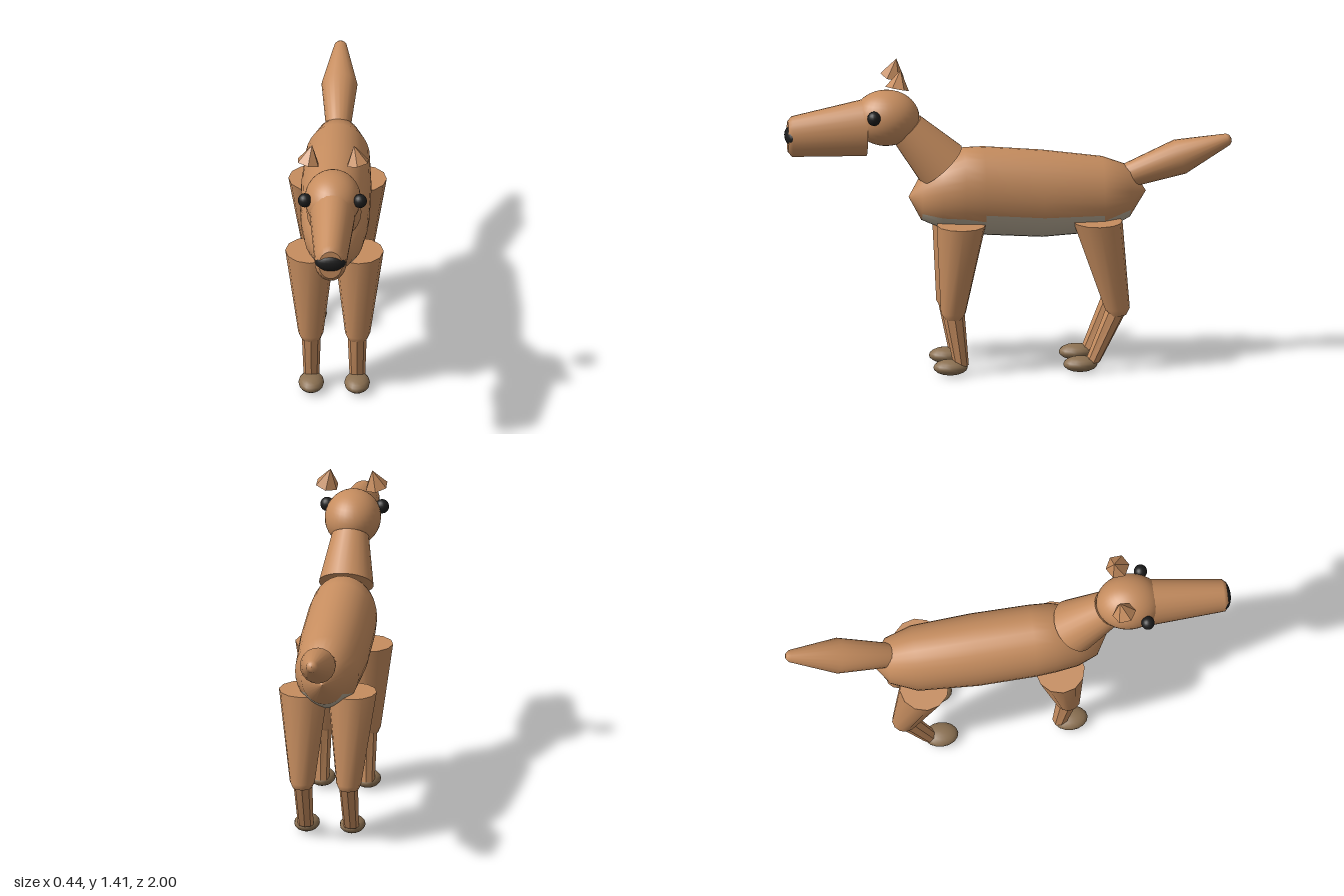
import * as THREE from 'three';

const material = (name, color) => {
  const m = new THREE.MeshStandardMaterial({ color });
  m.name = name;
  return m;
};

// Elliptical rings [s, cu, cv, ru, rv] joined along descending s.
// axis 'z': u = x, v = y.  axis 'y': u = z, v = x.
function loft(axis, rings, sides, isSecond = () => false) {
  const pos = [], first = [], second = [];
  const put = (s, u, v) => (axis === 'z' ? pos.push(u, v, s) : pos.push(v, s, u));
  const addRing = ([s, cu, cv, ru, rv]) => {
    const start = pos.length / 3;
    for (let j = 0; j < sides; j++) {
      const t = (j / sides) * Math.PI * 2;
      put(s, cu + ru * Math.cos(t), cv + rv * Math.sin(t));
    }
    return start;
  };
  rings.forEach(addRing);
  for (let i = 0; i < rings.length - 1; i++) {
    for (let j = 0; j < sides; j++) {
      const a = i * sides + j, b = i * sides + ((j + 1) % sides);
      const list = isSecond(i, ((j + 0.5) / sides) * 360) ? second : first;
      list.push(a, a + sides, b, b, a + sides, b + sides);
    }
  }
  // flat end caps with their own corners
  [rings[0], rings[rings.length - 1]].forEach((ring, end) => {
    if (ring[3] === 0) return;
    const start = addRing(ring), centre = pos.length / 3;
    put(ring[0], ring[1], ring[2]);
    for (let j = 0; j < sides; j++) {
      const a = start + j, b = start + ((j + 1) % sides);
      first.push(centre, end ? b : a, end ? a : b);
    }
  });
  const g = new THREE.BufferGeometry();
  g.setAttribute('position', new THREE.Float32BufferAttribute(pos, 3));
  g.setIndex([...first, ...second]);
  g.addGroup(0, first.length, 0);
  if (second.length) g.addGroup(first.length, second.length, 1);
  g.computeVertexNormals();
  return g;
}

function flat(geometry) {
  const g = geometry.toNonIndexed();
  g.clearGroups();
  g.computeVertexNormals();
  return g;
}

export function createModel() {
  const model = new THREE.Group();
  model.name = 'dog';
  const coat = material('tan coat', 0xc68d5f);
  const belly = material('grey belly', 0xb8ab96);
  const paw = material('brown paw', 0x8c7152);
  const black = material('black', 0x1c1c1c);

  const add = (name, geometry, mat, p = [0, 0, 0], scale = [1, 1, 1]) => {
    const m = new THREE.Mesh(geometry, mat);
    m.name = name;
    m.position.set(...p);
    m.scale.set(...scale);
    model.add(m);
    return m;
  };
  const ball = (name, mat, p, r, w = 32, h = 20) =>
    add(name, new THREE.SphereGeometry(1, w, h), mat, p, r);
  // turn a mesh's +y axis towards a direction
  const aim = (mesh, dir) =>
    mesh.quaternion.setFromUnitVectors(new THREE.Vector3(0, 1, 0), new THREE.Vector3(...dir).normalize());

  // trunk, with the underside in the belly colour
  const trunk = [
    [0.445, 0, 0.8, 0, 0],
    [0.39, 0, 0.795, 0.09, 0.1],
    [0.3, 0, 0.815, 0.132, 0.16],
    [0.2, 0, 0.828, 0.15, 0.19],
    [0.11, 0, 0.82, 0.155, 0.2],
    [-0.15, 0, 0.8, 0.157, 0.197],
    [-0.42, 0, 0.79, 0.143, 0.17],
    [-0.54, 0, 0.8, 0.1, 0.117],
    [-0.615, 0, 0.8, 0, 0],
  ];
  const underside = (i, deg) => {
    if (i === 0 || i === trunk.length - 2) return false;
    const half = i === 4 || i === 5 ? 67.5 : 56.25;
    return Math.abs(deg - 270) < half;
  };
  add('trunk', loft('z', trunk, 32, underside), [coat, belly]);

  // neck
  const neck = add('neck', new THREE.CylinderGeometry(0.083, 0.122, 0.23, 24), coat, [0, 1.03, 0.375]);
  aim(neck, [0, 0.165, 0.15]);

  // head, muzzle and nose
  ball('head', coat, [0, 1.168, 0.545], [0.125, 0.125, 0.148]);
  add('muzzle', loft('z', [
    [0.985, 0, 1.093, 0.052, 0.07],
    [0.967, 0, 1.093, 0.07, 0.092],
    [0.635, 0, 1.127, 0.1, 0.13],
  ], 24), coat);
  ball('nose', black, [0, 1.098, 0.967], [0.069, 0.043, 0.033], 20, 12);

  // tail
  const tailProfile = [[0, -0.06], [0.05, -0.06], [0.08, 0.235], [0.027, 0.462], [0.015, 0.475], [0, 0.478]];
  const tail = add('tail', new THREE.LatheGeometry(tailProfile.map(([r, y]) => new THREE.Vector2(r, y)), 20),
    coat, [0, 0.875, -0.545]);
  aim(tail, [0, 0.15, -0.435]);

  // [upper top z, knee z, ankle z, paw z]
  const legs = { front: [0.22, 0.255, 0.22, 0.267], back: [-0.39, -0.477, -0.367, -0.313] };

  for (const [side, s] of [['left', 1], ['right', -1]]) {
    ball(side + ' eye', black, [s * 0.123, 1.2, 0.612], [0.031, 0.032, 0.03], 16, 12);

    const ear = add(side + ' ear', flat(new THREE.ConeGeometry(0.054, 0.085, 6)), coat, [s * 0.102, 1.373, 0.499]);
    aim(ear, [s * -0.018, 0.085, -0.018]);

    for (const [end, [top, knee, ankle, toe]] of Object.entries(legs)) {
      const name = `${end} ${side} `;
      add(name + 'upper leg', loft('y', [
        [0.695, top, s * 0.109, 0.11, 0.11],
        [0.29, knee, s * 0.104, 0.056, 0.056],
        [0.262, knee, s * 0.104, 0.042, 0.044],
      ], 12), coat);
      add(name + 'lower leg', flat(loft('y', [
        [0.29, knee, s * 0.102, 0.05, 0.043],
        [0.045, ankle, s * 0.102, 0.034, 0.035],
      ], 8)), coat);
      ball(name + 'paw', paw, [s * 0.102, 0.036, toe], [0.057, 0.035, 0.077], 16, 10);
    }
  }
  return model;
}
